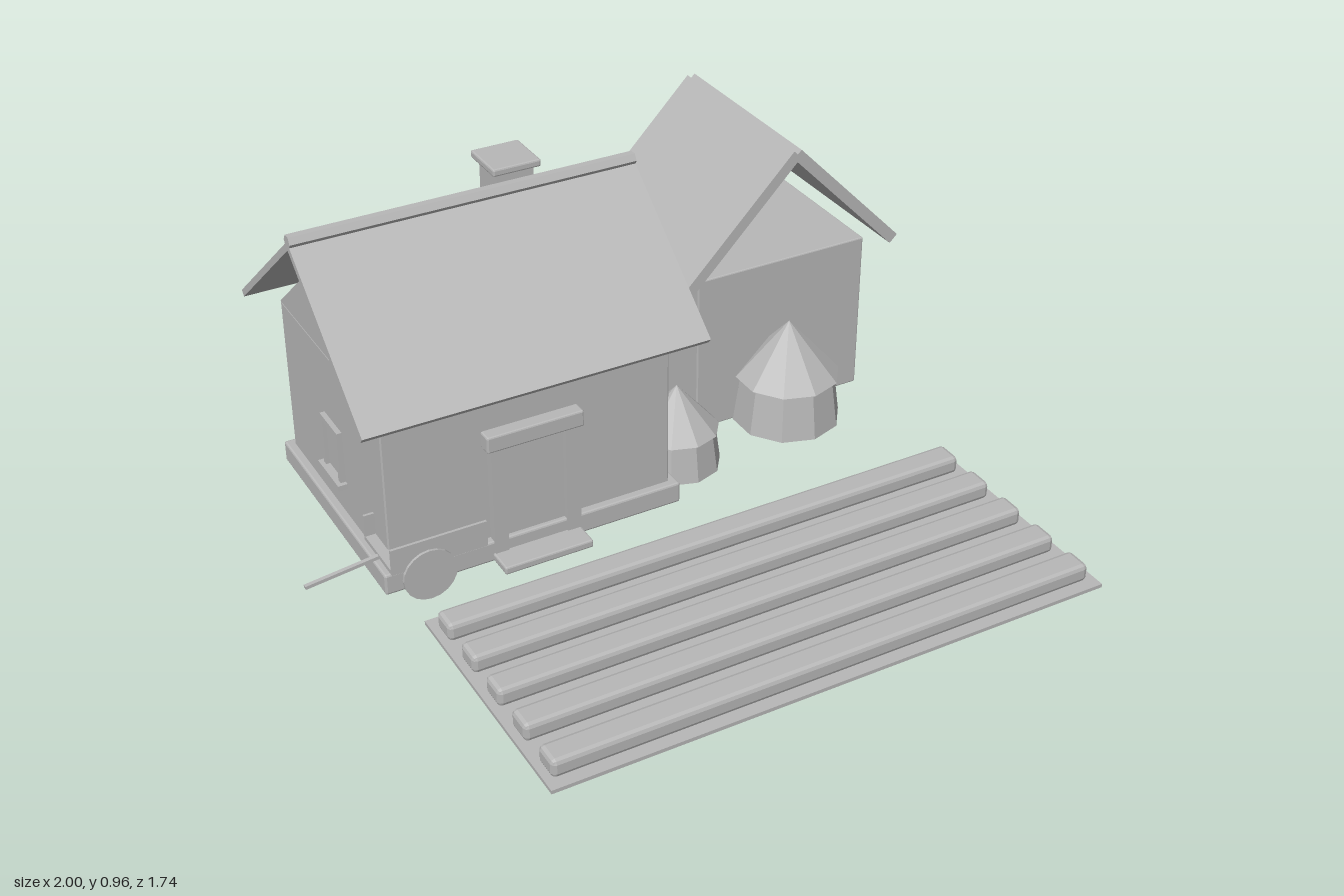
import * as THREE from 'three';
import { RoundedBoxGeometry } from 'three/addons/geometries/RoundedBoxGeometry.js';

const grey = new THREE.MeshStandardMaterial({ color: 0xb8b8b8, flatShading: true });
grey.name = 'plain grey';

function add(parent, name, geometry, x = 0, y = 0, z = 0) {
  const mesh = new THREE.Mesh(geometry, grey);
  mesh.name = name;
  mesh.position.set(x, y, z);
  parent.add(mesh);
  return mesh;
}

function group(parent, name, x = 0, y = 0, z = 0) {
  const g = new THREE.Group();
  g.name = name;
  g.position.set(x, y, z);
  parent.add(g);
  return g;
}

// Box given by its lower and upper limits, with an optional chamfer
function block(parent, name, [x0, x1], [y0, y1], [z0, z1], bevel = 0) {
  const size = [x1 - x0, y1 - y0, z1 - z0];
  const geometry = bevel ? new RoundedBoxGeometry(...size, 1, bevel) : new THREE.BoxGeometry(...size);
  return add(parent, name, geometry, (x0 + x1) / 2, (y0 + y1) / 2, (z0 + z1) / 2);
}

// Framed window facing +z, its origin on the wall at the sill
function addWindow(parent, x, z, turn) {
  const w = group(parent, 'window', x, 0.16, z);
  w.rotation.y = turn;
  block(w, 'windowPane', [-0.045, 0.045], [0.02, 0.165], [0, 0.005]);
  for (const s of [-1, 1]) {
    const edges = [s * 0.045, s * 0.062].sort((a, b) => a - b);
    block(w, 'windowJamb', edges, [0.01, 0.175], [0, 0.015]);
  }
  block(w, 'windowHead', [-0.062, 0.062], [0.16, 0.177], [0, 0.015]);
  block(w, 'windowSill', [-0.075, 0.075], [0, 0.016], [0, 0.028]);
}

function addHouse(parent) {
  const house = group(parent, 'house');
  block(house, 'foundation', [-0.785, 0.125], [0, 0.065], [-0.785, -0.035], 0.006);
  block(house, 'houseWalls', [-0.76, 0.1], [0.06, 0.545], [-0.76, -0.06], 0.004);

  // Gable prism under the roof
  const triangle = new THREE.Shape();
  triangle.moveTo(-0.35, 0).lineTo(0.35, 0).lineTo(0, 0.295).closePath();
  const gable = new THREE.ExtrudeGeometry(triangle, { depth: 0.86, bevelEnabled: false });
  gable.rotateY(Math.PI / 2);
  add(house, 'gable', gable, -0.76, 0.545, -0.41);

  // Two roof slopes meeting at the ridge
  const run = 0.433, rise = 0.355;
  for (const s of [-1, 1]) {
    const slope = add(house, 'houseRoofSlope', new THREE.BoxGeometry(1.02, 0.02, Math.hypot(run, rise)),
      -0.33, 0.55 + rise / 2, -0.41 + s * run / 2);
    slope.rotation.x = s * Math.atan2(rise, run);
  }
  const ridge = new THREE.CylinderGeometry(0.021, 0.021, 1.02, 6);
  ridge.rotateZ(Math.PI / 2);
  add(house, 'ridgeCap', ridge, -0.33, 0.916, -0.41);

  // Chimney
  block(house, 'chimneyShaft', [-0.218, -0.107], [0.7, 0.95], [-0.565, -0.453]);
  block(house, 'chimneyCap', [-0.235, -0.09], [0.943, 0.965], [-0.583, -0.437], 0.005);

  // Doorway
  const doorway = group(house, 'doorway');
  block(doorway, 'door', [-0.42, -0.235], [0.05, 0.365], [-0.065, -0.05]);
  block(doorway, 'doorPost', [-0.46, -0.418], [0.02, 0.37], [-0.065, -0.03]);
  block(doorway, 'doorPost', [-0.237, -0.195], [0.02, 0.37], [-0.065, -0.03]);
  block(doorway, 'doorLintel', [-0.475, -0.185], [0.365, 0.415], [-0.065, -0.02], 0.005);
  block(doorway, 'doorStep', [-0.465, -0.195], [0.003, 0.027], [-0.06, 0.043], 0.005);

  addWindow(house, 0.1, -0.41, Math.PI / 2);
  addWindow(house, -0.76, -0.41, -Math.PI / 2);
  addWindow(house, -0.33, -0.76, Math.PI);
}

function addBarn(parent) {
  const barn = group(parent, 'barn');
  block(barn, 'barnWalls', [0.35, 0.92], [0.005, 0.512], [-0.805, -0.33], 0.004);
  // Open pitched roof
  const run = 0.352, rise = 0.36;
  for (const s of [-1, 1]) {
    const slope = add(barn, 'barnRoofSlope', new THREE.BoxGeometry(Math.hypot(run, rise), 0.034, 0.605),
      0.635 + s * run / 2, 0.519 + rise / 2, -0.572);
    slope.rotation.z = -s * Math.atan2(rise, run);
  }
}

// Tapered stack with a conical top
function addStack(parent, x, z, scale) {
  const stack = group(parent, 'haystack', x, 0, z);
  stack.scale.setScalar(scale);
  add(stack, 'haystackBody', new THREE.CylinderGeometry(0.144, 0.165, 0.155, 10), 0, 0.08, 0);
  add(stack, 'haystackTop', new THREE.ConeGeometry(0.159, 0.178, 10), 0, 0.241, 0);
}

function addField(parent) {
  const field = group(parent, 'field');
  block(field, 'soil', [-0.745, 0.92], [0.003, 0.014], [0.13, 0.87]);
  for (let i = 0; i < 5; i++) {
    const z = 0.205 + i * 0.148;
    block(field, 'cropRow', [-0.725, 0.895], [0.012, 0.066], [z - 0.04, z + 0.04], 0.013);
  }
}

function addCart(parent) {
  const cart = group(parent, 'cart', 0, 0, -0.06);
  block(cart, 'cartBed', [-0.79, -0.51], [0.115, 0.128], [-0.09, 0.09]);
  for (const s of [-1, 1]) {
    add(cart, 'cartSide', new THREE.BoxGeometry(0.28, 0.08, 0.008), -0.65, 0.155, s * 0.09);
    const wheel = new THREE.CylinderGeometry(0.078, 0.078, 0.01, 20);
    wheel.rotateX(Math.PI / 2);
    add(cart, 'cartWheel', wheel, -0.683, 0.085, s * 0.097);
  }
  const shaft = add(cart, 'cartShaft', new THREE.BoxGeometry(0.24, 0.01, 0.012), -0.881, 0.107, 0);
  shaft.rotation.z = 0.12;
}

export function createModel() {
  const model = new THREE.Group();
  model.name = 'farmstead';
  addHouse(model);
  addBarn(model);
  addStack(model, 0.635, -0.28, 1);
  addStack(model, 0.217, -0.22, 0.8);
  addField(model);
  addCart(model);
  return model;
}
